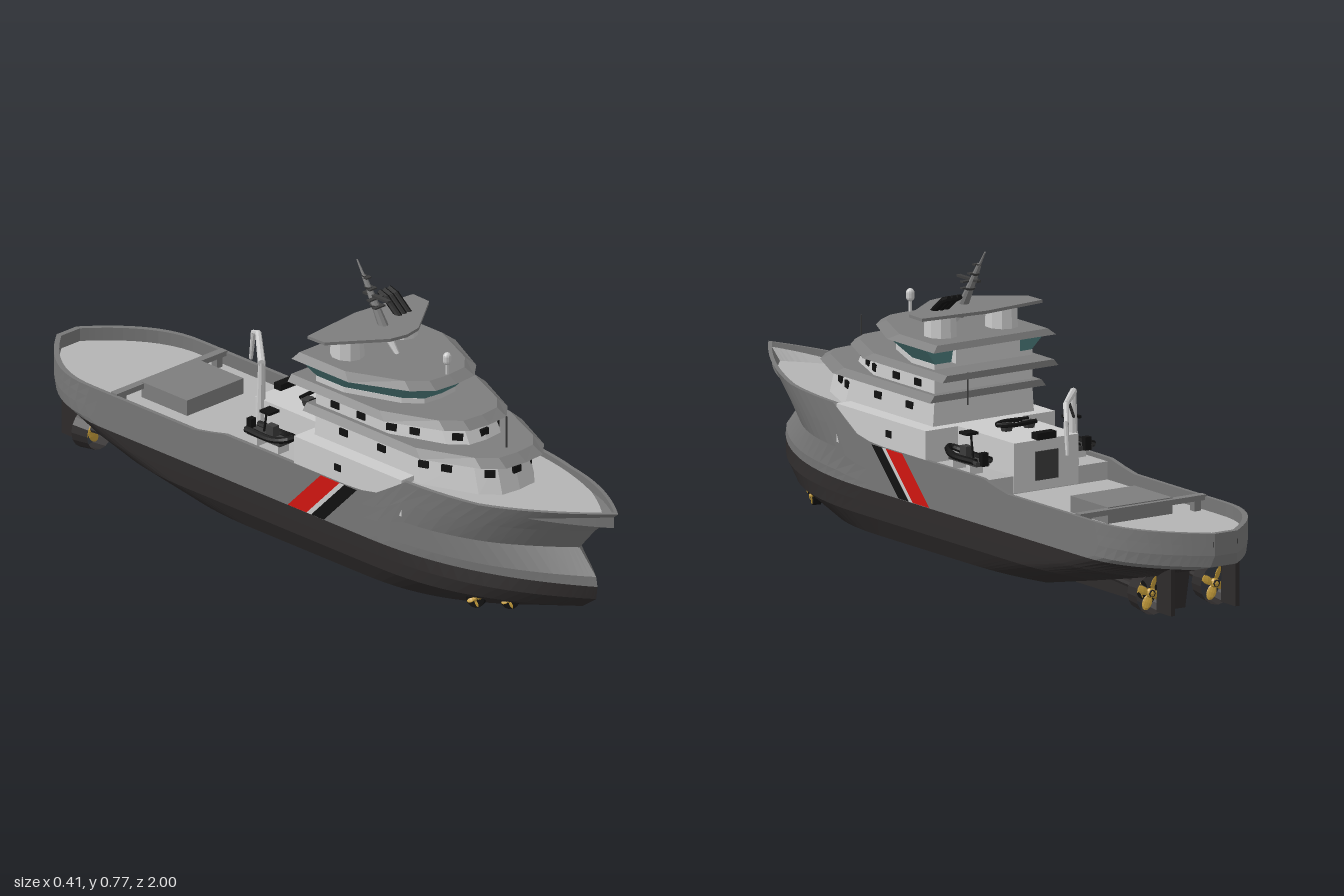
import * as THREE from 'three';

const mat = (color, flat = true) => new THREE.MeshStandardMaterial({ color, flatShading: flat, side: THREE.DoubleSide });
const M = {
  light: mat(0xcccccc), white: mat(0xe6e6e6), hull: mat(0x777777), keel: mat(0x2e2b2b), roof: mat(0x7d7d7d),
  deck: mat(0xb4b4b4), black: mat(0x111111), dark: mat(0x3c3c3c), glass: mat(0x4f8080), red: mat(0xd01510), gold: mat(0xc9a03c),
};

export function createModel() {
  const ship = new THREE.Group();
  ship.name = 'rescueShip';

  const add = (name, geo, material, x = 0, y = 0, z = 0, parent = ship) => {
    const m = new THREE.Mesh(geo, material);
    m.name = name;
    m.position.set(x, y, z);
    parent.add(m);
    return m;
  };
  const box = (name, material, w, h, d, x, y, z, parent) => add(name, new THREE.BoxGeometry(w, h, d), material, x, y, z, parent);

  // Tapered rod between two points
  const rod = (name, material, a, b, r0, r1 = r0, parent = ship) => {
    const p = new THREE.Vector3(...a), q = new THREE.Vector3(...b), d = q.clone().sub(p);
    const m = add(name, new THREE.CylinderGeometry(r1, r0, d.length(), 8), material, 0, 0, 0, parent);
    m.position.copy(p).add(q).multiplyScalar(0.5);
    m.quaternion.setFromUnitVectors(new THREE.Vector3(0, 1, 0), d.normalize());
    return m;
  };

  // Skin stacked closed loops; each loop is given as its +x half, bow to stern
  const loft = (halves, bottom, top) => {
    const loops = halves.map(h => [...h, ...h.map(([x, y, z]) => [-x, y, z]).reverse()]);
    const n = loops[0].length, idx = [];
    for (let j = 0; j < loops.length - 1; j++)
      for (let i = 0; i < n; i++) {
        const a = j * n + i, b = j * n + (i + 1) % n;
        idx.push(a, b, b + n, a, b + n, a + n);
      }
    for (let k = 0; k < n / 2 - 1; k++) {
      const q = [k, k + 1, n - 2 - k, n - 1 - k], o = (loops.length - 1) * n;
      if (bottom) idx.push(q[0], q[2], q[1], q[0], q[3], q[2]);
      if (top) idx.push(o + q[0], o + q[1], o + q[2], o + q[0], o + q[2], o + q[3]);
    }
    const g = new THREE.BufferGeometry();
    g.setAttribute('position', new THREE.Float32BufferAttribute(loops.flat(2), 3));
    g.setIndex(idx);
    g.computeVertexNormals();
    return g;
  };

  // Flat panel drawn in side view as [z, y] points, centred on x
  const sidePanel = (name, material, pts, x, t) => {
    const shape = new THREE.Shape(pts.map(p => new THREE.Vector2(...p)));
    const g = new THREE.ExtrudeGeometry(shape, { depth: t, bevelEnabled: false });
    g.translate(0, 0, -t / 2).rotateY(-Math.PI / 2);
    return add(name, g, material, x);
  };

  // ---- Hull: waterlines from keel to sheer
  const sheerPts = [[-1, .24], [-.32, .24], [-.22, .262], [.26, .262], [.33, .275], [.39, .31], [.42, .337], [.67, .337], [1, .365]];
  const sheer = z => {
    let i = 1;
    while (i < sheerPts.length - 1 && z > sheerPts[i][0]) i++;
    const [z0, y0] = sheerPts[i - 1], [z1, y1] = sheerPts[i];
    return THREE.MathUtils.lerp(y0, y1, THREE.MathUtils.clamp((z - z0) / (z1 - z0), 0, 1));
  };
  const N = 56;
  const waterline = (yOf, w, zBow, zStern, zFull, p, tail) => Array.from({ length: N + 1 }, (_, i) => {
    const z = zStern + (zBow - zStern) * (0.5 + 0.5 * Math.cos(Math.PI * i / N));
    const s = Math.max(0, (z - zFull) / (zBow - zFull)), a = Math.max(0, (zStern + .28 - z) / .28);
    return [w * Math.max(0, 1 - s ** p) * (1 - (1 - tail) * a ** 2.2), yOf(z), z];
  });
  const at = y => () => y, up = f => z => .14 + (sheer(z) - .14) * f;
  const water = waterline(at(.14), .203, .925, -.95, .3, 2.2, .3);
  add('lowerHull', loft([
    waterline(at(0), .07, .5, -.3, .1, 2, .7),
    waterline(at(.02), .18, .7, -.42, .25, 2.5, .8),
    waterline(at(.07), .204, .87, -.65, .3, 2.5, .75),
    waterline(at(.105), .204, .92, -.82, .3, 2.4, .6),
    water], true, false), M.keel);
  const rail = waterline(sheer, .203, 1, -1, .35, 2.5, .17);
  const inner = rail.map(([x, y, z]) => [x * .945, y, z * .985]);
  const deckLine = inner.map(([x, , z]) => [x, z < .2 ? .205 : .322, z]);
  add('upperHull', loft([
    water,
    waterline(up(.12), .203, .92, -.99, .32, 2.2, .2),
    waterline(up(.42), .203, .86, -1, .34, 2.2, .17),
    waterline(up(.7), .203, .915, -1, .35, 2.4, .17),
    rail, inner, deckLine], false, false), M.hull);
  add('deck', loft([deckLine], false, true), M.deck);
  sidePanel('skeg', M.keel, [[.1, .002], [-.78, 0], [-.8, .1], [-.8, .13], [.1, .05]], 0, .06);

  // Slanted stripes on both sides
  for (const s of [-1, 1]) {
    for (const [name, m, z0, z1] of [['blackStripe', M.black, .26, .215], ['whiteStripe', M.white, .215, .198], ['redStripe', M.red, .198, .13]])
      sidePanel(name, m, [[z0, .26], [z1, .26], [z1 - .118, .142], [z0 - .118, .142]], s * .2035, .004);
  }

  // ---- Propellers, nozzles, rudders and thrusters
  const propeller = (name, r, x, y, z, yaw) => {
    const g = new THREE.Group();
    g.name = name;
    g.position.set(x, y, z);
    g.rotation.y = yaw;
    ship.add(g);
    add('hub', new THREE.SphereGeometry(r * .28, 8, 6), M.gold, 0, 0, 0, g);
    for (let i = 0; i < 4; i++) {
      const a = i * Math.PI / 2 + .4;
      const b = add('blade', new THREE.SphereGeometry(r * .45, 8, 6), M.gold, Math.cos(a) * r * .55, Math.sin(a) * r * .55, 0, g);
      b.scale.set(1, .6, .15);
      b.rotation.set(0, 0, a);
      b.rotateX(.5);
    }
    return g;
  };
  for (const s of [-1, 1]) {
    for (const [x, y, z, turn] of [[.093, .06, .7, 1.05], [.137, .052, .62, 1.15], [.034, .035, -.675, 1.57], [.034, .035, -.733, 1.57]]) {
      const g = propeller('thruster', .023, s * x, y, z, s * turn);
      const ring = add('thrusterTunnel', new THREE.CylinderGeometry(.025, .025, .02, 14), M.black, 0, 0, -.012, g);
      ring.rotation.x = Math.PI / 2;
    }
    propeller('mainPropeller', .046, s * .1, .06, -.81, 0);
    const nozzle = add('nozzle', new THREE.CylinderGeometry(.047, .054, .05, 16, 1, true), M.keel, s * .1, .06, -.8);
    nozzle.rotation.x = Math.PI / 2;
    rod('propellerShaft', M.keel, [s * .1, .06, -.82], [s * .1, .08, -.55], .01);
    sidePanel('rudder', M.keel, [[-.85, .14], [-.845, .018], [-.91, .018], [-.91, .14]], s * .1, .012);
  }

  // ---- Superstructure tiers with a tapered front
  const house = (w, zf, zb, y) => [[0, y, zf], [.36 * w, y, zf - .006], [.62 * w, y, zf - .05], [w, y, zf - .2], [w, y, zb], [0, y, zb]];
  const tier = (name, m, a, b) => add(name, loft([house(...a), house(...b)], true, true), m);
  box('midHouse', M.white, .402, .1, .39, 0, .287, .225);
  tier('lowerHouse', M.white, [.158, .645, .06, .32], [.152, .62, .06, .406]);
  tier('lowerRoof', M.roof, [.18, .667, .04, .404], [.166, .635, .04, .422]);
  tier('middleHouse', M.white, [.153, .525, .06, .42], [.151, .5, .06, .468]);
  tier('middleRoof', M.roof, [.18, .535, -.015, .467], [.166, .505, -.015, .484]);
  tier('bridgeBase', M.white, [.152, .36, .06, .48], [.152, .36, .06, .498]);
  tier('bridgeWindows', M.glass, [.15, .36, .06, .498], [.186, .4, .05, .541]);
  tier('bridgeRoof', M.roof, [.19, .415, .01, .541], [.172, .385, .02, .557]);
  box('bridgeBackWall', M.white, .2, .045, .02, 0, .52, .05);

  // Small windows following each tier's walls
  const windows = (w, zf, y) => {
    const h = house(w, zf, .06, y);
    box('window', M.black, .026, .018, .008, 0, y, zf);
    for (const s of [-1, 1])
      for (const [e, t] of [[1, .4], [2, .5], [2, .9], [3, .35], [3, .72]]) {
        const [x0, , z0] = h[e], [x1, , z1] = h[e + 1];
        const b = box('window', M.black, .028, .018, .008, s * (x0 + (x1 - x0) * t), y, z0 + (z1 - z0) * t);
        b.rotation.y = s * Math.atan2(z0 - z1, x1 - x0);
      }
  };
  windows(.1545, .632, .375);
  windows(.152, .514, .44);
  for (const s of [-1, 1]) box('sideWindow', M.black, .006, .018, .022, s * .201, .3, .19);

  // ---- Top platform, supports, funnels and mast
  const plate = y => [[0, y, .235], [.05, y, .225], [.185, y, .125], [.187, y, .065], [0, y, .045]];
  add('topPlatform', loft([plate(.613), plate(.621)], true, true), M.roof);
  for (const s of [-1, 1]) {
    const p = add('platformSupport', new THREE.CylinderGeometry(.04, .042, .06, 10), M.white, s * .095, .585, .115);
    p.scale.z = 1.1;
  }
  for (const x of [.071, .088, .105]) {
    rod('funnel', M.black, [x, .615, .135], [x, .655, .085], .009);
    rod('funnelTip', M.black, [x, .652, .09], [x, .663, .062], .009, .007);
  }
  rod('mastFoot', M.light, [0, .555, .2], [0, .6, .16], .006, .012);
  rod('mast', M.roof, [0, .59, .165], [0, .735, .078], .015, .006);
  rod('mastTop', M.roof, [0, .73, .08], [0, .772, .053], .004, .002);
  for (const [y, w, r] of [[.665, .036, .016], [.685, .052, .008], [.707, .026, .012], [.733, .018, .007]]) {
    const z = .165 - (y - .59) * .6;
    box('mastYard', M.dark, w, .004, .012, 0, y, z + .012);
    add('mastPlatform', new THREE.CylinderGeometry(r, r * .7, .006, 10), M.dark, 0, y, z);
  }
  box('radarBar', M.dark, .012, .006, .09, 0, .69, .125);
  rod('domePost', M.light, [0, .55, .38], [0, .59, .38], .004);
  add('radarDome', new THREE.CapsuleGeometry(.011, .012, 4, 10), M.light, 0, .6, .38);
  rod('bowAntenna', M.dark, [0, .42, .595], [0, .508, .595], .002);
  rod('sternAntenna', M.dark, [.1, .4, -.012], [.1, .485, -.012], .002);

  // ---- Boat deck and aft deckhouse
  box('boatDeck', M.deck, .39, .05, .25, 0, .227, -.088);
  box('aftHouse', M.light, .2, .13, .25, 0, .272, -.09);
  box('aftDoor', M.dark, .07, .075, .006, 0, .27, -.216);
  box('winch', M.black, .06, .018, .025, 0, .345, -.205);
  const hoop = new THREE.CatmullRomCurve3([[-.05, -.1], [.03, -.105], [.058, -.082], [.03, -.06], [-.05, -.065]].map(([x, z]) => new THREE.Vector3(x, .355, z)));
  add('deckHoop', new THREE.TubeGeometry(hoop, 20, .006, 6), M.black);
  for (const x of [-.04, .03]) rod('hoopPost', M.dark, [x, .33, -.083], [x, .355, -.083], .012, .018);

  // Inflatable rescue boats on cradles
  for (const s of [-1, 1]) {
    const boat = new THREE.Group();
    boat.name = 'rescueBoat';
    boat.position.set(s * .16, .29, -.09);
    ship.add(boat);
    const path = new THREE.CatmullRomCurve3([[-.023, 0, -.072], [-.024, 0, .02], [-.015, .007, .058], [0, .012, .072], [.015, .007, .058], [.024, 0, .02], [.023, 0, -.072]].map(p => new THREE.Vector3(...p)));
    add('boatTube', new THREE.TubeGeometry(path, 28, .009, 8), M.black, 0, 0, 0, boat);
    box('boatFloor', M.dark, .042, .012, .12, 0, -.008, -.012, boat);
    box('boatConsole', M.dark, .02, .03, .026, 0, .012, 0, boat);
    box('outboard', M.black, .018, .035, .016, 0, .005, -.076, boat);
    rod('boatArch', M.black, [0, 0, -.03], [0, .06, -.02], .003, .003, boat);
    box('boatArchTop', M.black, .036, .007, .035, 0, .062, -.01, boat);
    for (const z of [-.04, .035]) box('boatCradle', M.light, .04, .03, .01, 0, -.027, z, boat);
  }

  // Knuckle crane
  rod('cranePost', M.light, [-.1, .25, -.195], [-.1, .44, -.19], .013, .009);
  rod('craneBoom', M.light, [-.105, .44, -.185], [.01, .447, -.315], .01, .008);
  rod('craneJib', M.light, [.01, .447, -.315], [.055, .415, -.38], .008, .006);
  rod('craneArm', M.light, [.055, .418, -.378], [.062, .335, -.395], .007, .005);
  rod('craneRam', M.dark, [-.1, .375, -.195], [-.04, .438, -.255], .004);

  // ---- Working deck fittings
  box('cargoHatch', M.roof, .2, .045, .165, 0, .225, -.543);
  box('towingBeam', M.roof, .392, .014, .022, 0, .238, -.628);
  for (const s of [-1, 1]) {
    box('beamPost', M.roof, .02, .035, .02, s * .17, .218, -.628);
    box('sternFairlead', M.black, .026, .014, .006, s * .024, .212, -1 + .004);
  }
  return ship;
}
